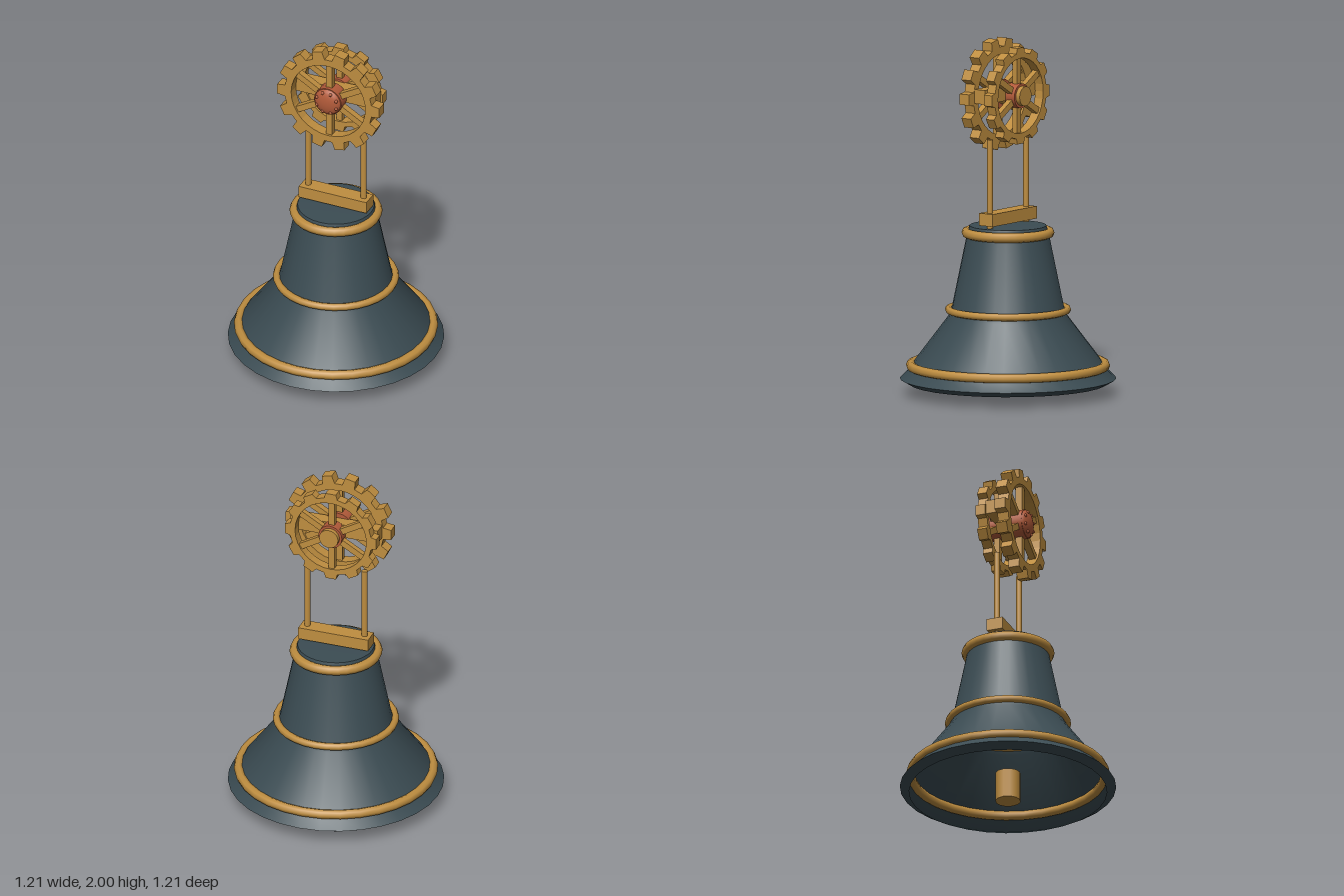
import * as THREE from 'three';
import { toCreasedNormals } from 'three/addons/utils/BufferGeometryUtils.js';

const mat = (name, color, side = THREE.FrontSide) => {
  const m = new THREE.MeshStandardMaterial({ color, side });
  m.name = name;
  return m;
};

export function createModel() {
  const slate = mat('dark slate', 0x3b4c53, THREE.DoubleSide);
  const brass = mat('brass', 0xbf8e40);
  const copper = mat('copper', 0xb35b3a);
  const model = new THREE.Group();
  model.name = 'gearBell';
  const wheelY = 1.69;

  const add = (name, geometry, material, x = 0, y = 0, z = 0, parent = model) => {
    const mesh = new THREE.Mesh(geometry, material);
    mesh.name = name;
    mesh.position.set(x, y, z);
    parent.add(mesh);
    return mesh;
  };
  // Cylinder lying along z between two depths
  const drum = (r, z0, z1, sides = 20) =>
    new THREE.CylinderGeometry(r, r, z1 - z0, sides).rotateX(Math.PI / 2).translate(0, 0, (z0 + z1) / 2);

  // Thin bell shell, open below, from lip to crown
  const profile = [
    [0.553, 0.06], [0.605, 0.09], [0.552, 0.14], [0.515, 0.2], [0.334, 0.44],
    [0.312, 0.5], [0.23, 0.9], [0.215, 0.952], [0, 0.963],
  ].map(([r, y]) => new THREE.Vector2(r, y));
  add('bellShell', toCreasedNormals(new THREE.LatheGeometry(profile, 32), 0.45), slate);

  // Brass bands
  for (const [name, R, tube, y] of [
    ['crownBand', 0.232, 0.028, 0.912],
    ['waistBand', 0.332, 0.021, 0.478],
    ['rimBand', 0.544, 0.027, 0.163],
  ]) add(name, new THREE.TorusGeometry(R, tube, 8, 32).rotateX(Math.PI / 2), brass, 0, y);

  add('clapper', new THREE.CylinderGeometry(0.071, 0.071, 0.17, 12), brass, 0, 0.085);

  // Yoke, with posts running through it down to the crown
  add('yoke', new THREE.BoxGeometry(0.415, 0.07, 0.094), brass, 0, 1.005);
  for (const s of [-1, 1])
    add(s > 0 ? 'leftPost' : 'rightPost',
      new THREE.CylinderGeometry(0.017, 0.017, 0.505, 10), brass, s * 0.17, 1.2025);

  // Bar and axle between the wheels
  add('crossbar', new THREE.BoxGeometry(0.52, 0.08, 0.074), brass, 0, 1.705, 0.004);
  add('axle', drum(0.056, -0.122, 0.1), brass, 0, wheelY);

  // Toothed wheel with six spokes
  function gear(name, teeth, tip, root, inner, z0, z1) {
    const group = new THREE.Group();
    group.name = name;
    group.position.set(0, wheelY, (z0 + z1) / 2);
    model.add(group);
    const depth = z1 - z0, pitch = (Math.PI * 2) / teeth, shape = new THREE.Shape();
    for (let i = 0; i < teeth; i++) {
      [[-0.31, root], [-0.215, tip], [0.215, tip], [0.31, root]].forEach(([d, r], k) => {
        const a = (i + d) * pitch, x = Math.cos(a) * r, y = Math.sin(a) * r;
        i + k ? shape.lineTo(x, y) : shape.moveTo(x, y);
      });
    }
    shape.closePath();
    shape.holes.push(new THREE.Path().absarc(0, 0, inner, 0, Math.PI * 2, true));
    const rim = new THREE.ExtrudeGeometry(shape, { depth, bevelEnabled: false, curveSegments: 16 });
    add('toothedRim', rim.translate(0, 0, -depth / 2), brass, 0, 0, 0, group);
    for (let i = 0; i < 3; i++)
      add('spokePair', new THREE.BoxGeometry(0.036, inner * 2 + 0.01, depth * 0.6), brass, 0, 0, 0, group)
        .rotation.z = (i * Math.PI) / 3;
  }
  gear('frontWheel', 14, 0.315, 0.268, 0.228, 0.04, 0.105);
  gear('backWheel', 12, 0.273, 0.243, 0.212, -0.088, -0.032);

  // Copper hubs
  add('frontHub', drum(0.084, 0.034, 0.112), copper, 0, wheelY);
  add('backHub', drum(0.07, -0.096, -0.026), copper, 0, wheelY);
  const dome = new THREE.SphereGeometry(0.08, 20, 6, 0, Math.PI * 2, 0, Math.PI / 2);
  dome.rotateX(Math.PI / 2).scale(1, 1, 0.38);
  add('hubDome', dome, copper, 0, wheelY, 0.111);
  for (let i = 0; i < 8; i++) {
    const a = ((i + 0.5) / 8) * Math.PI * 2;
    add('rivet', new THREE.SphereGeometry(0.01, 8, 6), copper,
      Math.cos(a) * 0.064, wheelY + Math.sin(a) * 0.064, 0.128);
  }
  return model;
}
